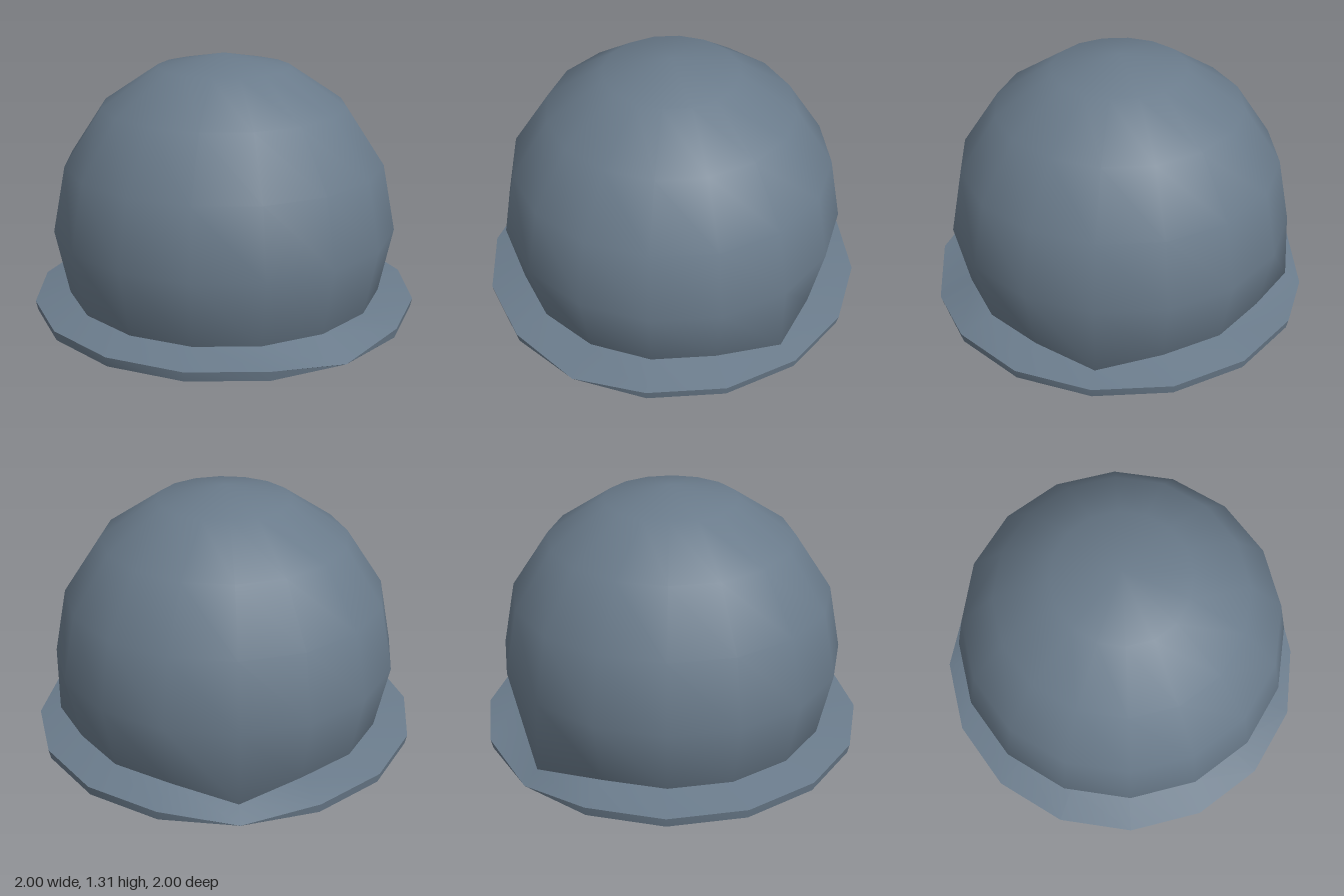
import * as THREE from 'three';
import { toCreasedNormals } from 'three/addons/utils/BufferGeometryUtils.js';

const SIDES = 16;
const RADIUS = 0.887;
const CENTRE_Y = 0.425;
const STEP = Math.PI / 8;

// Moves every vertex lying near a given point to a new place
function pull(geometry, from, to) {
  const pos = geometry.attributes.position;
  const v = new THREE.Vector3();
  for (let i = 0; i < pos.count; i++) {
    if (v.fromBufferAttribute(pos, i).distanceTo(from) < 0.02) pos.setXYZ(i, to.x, to.y, to.z);
  }
}

// Point at a radius, height and number of sides round from +z towards +x
const ringPoint = (r, y, k) => new THREE.Vector3(r * Math.sin(k * STEP), y, r * Math.cos(k * STEP));

export function createModel() {
  const group = new THREE.Group();
  group.name = 'domeOnBase';
  const material = new THREE.MeshStandardMaterial({ color: 0x6a7b8b });

  // Dome: a 16-sided sphere cut one ring below its equator
  const domeGeometry = new THREE.SphereGeometry(RADIUS, SIDES, 5, 0, Math.PI * 2, 0, STEP * 5);
  domeGeometry.translate(0, CENTRE_Y, 0);

  // Base: a thin disc with a sloping lip, its underside a shallow hollow cone
  const lipY = CENTRE_Y - RADIUS * Math.sin(STEP);
  const lipR = RADIUS * Math.cos(STEP);
  const profile = [[0, 0.19], [0.99, 0], [1, 0.05], [lipR, lipY]].map(([r, y]) => new THREE.Vector2(r, y));
  const baseGeometry = new THREE.LatheGeometry(profile, SIDES);

  // Two dented corners of the lip
  for (const k of [2, 9]) pull(baseGeometry, ringPoint(1, 0.05, k), ringPoint(0.992, 0.002, k));

  // Two uneven corners where the dome meets the lip
  for (const [k, r, y] of [[9, 0.91, 0.06], [5, 0.89, 0.07]]) {
    for (const geometry of [domeGeometry, baseGeometry]) {
      pull(geometry, ringPoint(lipR, lipY, k), ringPoint(r, y, k));
    }
  }

  const dome = new THREE.Mesh(domeGeometry, material);
  dome.name = 'dome';
  const base = new THREE.Mesh(toCreasedNormals(baseGeometry, Math.PI / 6), material);
  base.name = 'base';
  group.add(dome, base);

  return group;
}
